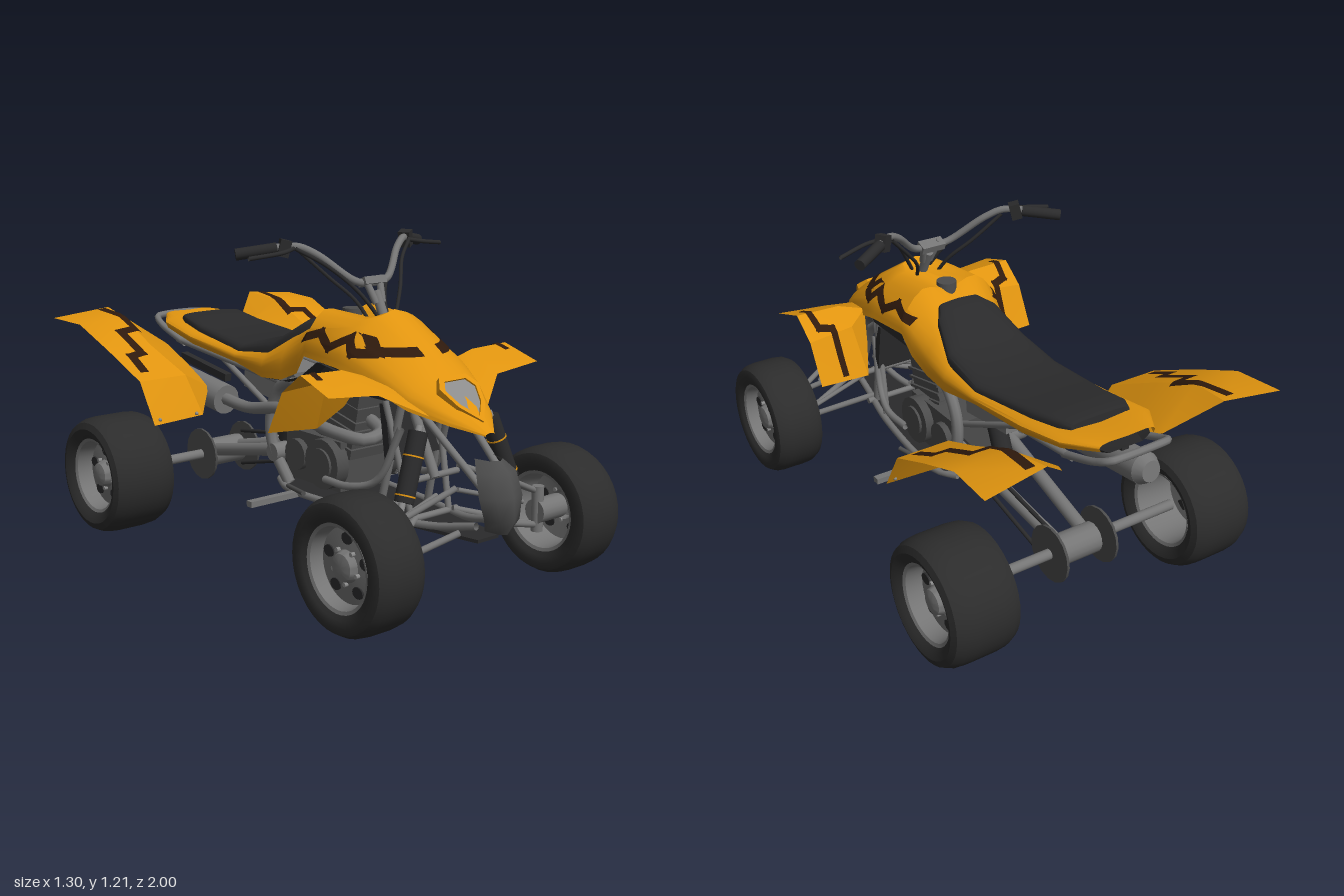
import * as THREE from 'three';
import { toCreasedNormals } from 'three/addons/utils/BufferGeometryUtils.js';

const V = (p) => new THREE.Vector3(...p);
const material = (name, color) =>
  new THREE.MeshStandardMaterial({ name, color, side: THREE.DoubleSide });

export function createModel() {
  const model = new THREE.Group();
  model.name = 'quadBike';
  const orange = material('orange', 0xe0940f);
  const brown = material('dark brown', 0x2f1a0d);
  const black = material('rubber black', 0x2c2c2c);
  const plastic = material('seat black', 0x2a2a2b);
  const grey = material('frame grey', 0x757575);
  const dark = material('engine grey', 0x4c4c4c);
  const light = material('light grey', 0x8c8c8c);

  function add(name, geometry, mat, pos = [0, 0, 0], rot = [0, 0, 0], parent = model) {
    const mesh = new THREE.Mesh(geometry, mat);
    mesh.name = name;
    mesh.position.set(...pos);
    mesh.rotation.set(...rot);
    parent.add(mesh);
    return mesh;
  }
  const both = (fn) => [1, -1].forEach(fn);
  const box = (name, size, mat, pos, rot) => add(name, new THREE.BoxGeometry(...size), mat, pos, rot);
  const tube = (name, pts, r, mat) =>
    add(name, new THREE.TubeGeometry(new THREE.CatmullRomCurve3(pts.map(V), false, 'centripetal'), pts.length * 5, r, 8), mat);
  function rod(name, a, b, r, mat, r2 = r) {
    const dir = V(b).sub(V(a));
    const mesh = add(name, new THREE.CylinderGeometry(r2, r, dir.length(), 16), mat);
    mesh.position.copy(V(a)).addScaledVector(dir, 0.5);
    mesh.quaternion.setFromUnitVectors(new THREE.Vector3(0, 1, 0), dir.normalize());
    return mesh;
  }
  const flip = (pts, s) => pts.map(([x, y, z]) => [x * s, y, z]);
  const pairTube = (name, pts, r, mat) => both((s) => tube(name, flip(pts, s), r, mat));
  const pairRod = (name, a, b, r, mat) => both((s) => rod(name, ...flip([a, b], s), r, mat));

  // Surface through rows of points
  function sheet(rows, crease = 0.6) {
    const n = rows[0].length, index = [];
    for (let i = 0; i < rows.length - 1; i++)
      for (let j = 0; j < n - 1; j++) {
        const a = i * n + j, b = a + n;
        index.push(a, b, a + 1, b, b + 1, a + 1);
      }
    const g = new THREE.BufferGeometry();
    g.setAttribute('position', new THREE.Float32BufferAttribute(rows.flat(2), 3));
    g.setIndex(index);
    return toCreasedNormals(g, crease);
  }
  // Row across the body from half a section: centre, shoulder, side, edge
  function section([z, ...half]) {
    const pts = new THREE.CatmullRomCurve3(half.map(([x, y]) => V([x, y, z]))).getPoints(9).map((p) => p.toArray());
    return [...flip(pts.slice(1), -1).reverse(), ...pts];
  }
  // Zigzag stripe laid on a surface along a ray direction
  function stripe(name, path, width, target, place, dir) {
    const ray = new THREE.Raycaster(), d = V(dir), out = [];
    const hit = (p) => {
      ray.set(V(place(p.x, p.y)), d);
      const h = ray.intersectObject(target)[0];
      return h && h.point.addScaledVector(d, -0.005).toArray();
    };
    for (let i = 0; i < path.length - 1; i++) {
      const a = new THREE.Vector2(...path[i]), b = new THREE.Vector2(...path[i + 1]);
      const t = b.clone().sub(a).normalize().multiplyScalar(width / 2), n = new THREE.Vector2(-t.y, t.x);
      a.sub(t); b.add(t);
      const at = (u, k) => hit(a.clone().lerp(b, u).addScaledVector(n, k));
      for (let k = 0; k < 12; k++)
        for (const e of [-1, -0.5, 0, 0.5]) {
          const q = [at(k / 12, e), at((k + 1) / 12, e), at((k + 1) / 12, e + 0.5), at(k / 12, e + 0.5)];
          if (q.every(Boolean)) out.push(q[0], q[1], q[2], q[0], q[2], q[3]);
        }
    }
    const g = new THREE.BufferGeometry();
    g.setAttribute('position', new THREE.Float32BufferAttribute(out.flat(), 3));
    g.computeVertexNormals();
    add(name, g, brown);
  }

  // Bodywork: nose, tank cover and tail
  const body = add('bodywork', sheet([
    [0.875, [0, 0.61], [0.012, 0.608], [0.02, 0.605], [0.02, 0.6]],
    [0.79, [0, 0.685], [0.05, 0.678], [0.095, 0.65], [0.1, 0.63]],
    [0.66, [0, 0.79], [0.09, 0.772], [0.165, 0.72], [0.175, 0.67]],
    [0.58, [0, 0.855], [0.09, 0.83], [0.185, 0.765], [0.2, 0.705]],
    [0.4, [0, 0.968], [0.09, 0.938], [0.205, 0.84], [0.225, 0.765]],
    [0.35, [0, 0.925], [0.108, 0.933], [0.205, 0.845], [0.225, 0.775]],
    [0.155, [0, 0.92], [0.118, 0.95], [0.207, 0.847], [0.215, 0.788]],
    [0.1, [0, 0.882], [0.1, 0.885], [0.195, 0.81], [0.205, 0.715]],
    [0, [0, 0.84], [0.13, 0.835], [0.195, 0.76], [0.2, 0.675]],
    [-0.12, [0, 0.755], [0.165, 0.76], [0.2, 0.72], [0.2, 0.665]],
    [-0.3, [0, 0.725], [0.175, 0.74], [0.2, 0.72], [0.19, 0.695]],
    [-0.6, [0, 0.76], [0.155, 0.77], [0.2, 0.755], [0.19, 0.725]],
    [-0.8, [0, 0.8], [0.14, 0.805], [0.19, 0.79], [0.18, 0.765]],
    [-0.915, [0, 0.81], [0.1, 0.81], [0.115, 0.8], [0.11, 0.785]],
  ].map(section), 0.7), orange);
  const under = [[0.6, 0.14, 0.7], [0.4, 0.17, 0.73], [0.2, 0.19, 0.77], [0.1, 0.19, 0.7], [0, 0.19, 0.67], [-0.12, 0.19, 0.665], [-0.3, 0.185, 0.695], [-0.6, 0.185, 0.725], [-0.8, 0.175, 0.765], [-0.91, 0.1, 0.785]];
  add('underTray', sheet(under.map(([z, w, y]) => [[-w, y, z], [-w * 0.7, y - 0.02, z], [w * 0.7, y - 0.02, z], [w, y, z]])), plastic);

  // Seat
  add('seat', sheet([
    [0.115, [0, 0.885], [0.04, 0.885], [0.07, 0.88], [0.075, 0.87]],
    [0.09, [0, 0.908], [0.05, 0.905], [0.085, 0.898], [0.09, 0.87]],
    [0.03, [0, 0.9], [0.08, 0.895], [0.125, 0.875], [0.13, 0.83]],
    [-0.1, [0, 0.82], [0.11, 0.815], [0.165, 0.79], [0.17, 0.75]],
    [-0.29, [0, 0.77], [0.12, 0.768], [0.175, 0.755], [0.182, 0.72]],
    [-0.6, [0, 0.803], [0.11, 0.8], [0.15, 0.79], [0.157, 0.755]],
    [-0.73, [0, 0.828], [0.1, 0.825], [0.138, 0.815], [0.143, 0.785]],
    [-0.775, [0, 0.822], [0.09, 0.82], [0.12, 0.812], [0.125, 0.79]],
    [-0.78, [0, 0.79], [0.09, 0.79], [0.12, 0.79], [0.125, 0.785]],
  ].map(section), 0.7), plastic);

  // Headlight in its raised frame
  const shield = (k) => new THREE.Shape([[-0.055, 0.075], [0.055, 0.075], [0.08, 0.035], [0.055, -0.035], [0, -0.1], [-0.055, -0.035], [-0.08, 0.035]]
    .map(([x, y]) => new THREE.Vector2(x * k, y * k)));
  const frame = shield(1.15);
  frame.holes.push(shield(0.9));
  add('headlightFrame', new THREE.ExtrudeGeometry(frame, { depth: 0.028, bevelEnabled: false }), orange, [0, 0.697, 0.74], [-0.863, 0, 0]);
  add('headlight', new THREE.ExtrudeGeometry(shield(0.92), { depth: 0.022, bevelEnabled: false }), light, [0, 0.697, 0.74], [-0.863, 0, 0]);
  add('fuelCap', new THREE.CylinderGeometry(0.038, 0.04, 0.045, 20), dark, [0, 0.925, 0.175]);

  // Fenders and painted bolts
  const frontFender = [
    [[0.14, 0.66, 0.73], [0.285, 0.735, 0.635], [0.495, 0.755, 0.635]],
    [[0.17, 0.735, 0.6], [0.31, 0.8, 0.48], [0.488, 0.805, 0.48]],
    [[0.2, 0.765, 0.47], [0.3, 0.745, 0.39], [0.487, 0.73, 0.38]],
    [[0.23, 0.65, 0.4], [0.28, 0.56, 0.31], [0.487, 0.575, 0.3]],
  ];
  const rearFender = [
    [[0.275, 0.53, -0.4], [0.33, 0.5, -0.33], [0.56, 0.495, -0.31]],
    [[0.2, 0.57, -0.48], [0.36, 0.65, -0.4], [0.565, 0.65, -0.4]],
    [[0.19, 0.64, -0.65], [0.39, 0.743, -0.6], [0.58, 0.74, -0.6]],
    [[0.19, 0.7, -0.8], [0.39, 0.832, -0.8], [0.592, 0.82, -0.8]],
    [[0.21, 0.715, -0.85], [0.365, 0.85, -0.97], [0.607, 0.825, -0.99]],
  ];
  both((s) => {
    const front = add('frontFender', sheet(frontFender.map((r) => flip(r, s)), 0.4), orange);
    const rear = add('rearFender', sheet(rearFender.map((r) => flip(r, s)), 0.4), orange);
    const above = (x, z) => [x * s, 2, z];
    stripe('frontFenderBolt', [[0.375, 0.315], [0.38, 0.4], [0.43, 0.415], [0.445, 0.52]], 0.026, front, above, [0, -1, 0]);
    stripe('rearFenderBolt', [[0.41, -0.93], [0.39, -0.71], [0.465, -0.7], [0.46, -0.555], [0.51, -0.545], [0.515, -0.46]], 0.036, rear, above, [0, -1, 0]);
    stripe('bodyBolt', [[0.49, 0.84], [0.41, 0.835], [0.37, 0.88], [0.29, 0.838], [0.22, 0.88], [0.13, 0.85]], 0.03, body, (z, y) => [s, y, z], [-s, 0, 0]);
    stripe('noseBolt', [[0.055, 0.846], [0.16, 0.845], [0.145, 0.88]], 0.028, body, (x, y) => [x * s, y, 2], [0, 0, -1]);
    for (const x of [0.365, 0.53]) add('fenderRivet', new THREE.SphereGeometry(0.007, 8, 6), light, [x * s, 0.512, -0.32]);
  });

  // Wheels
  function wheel(name, x, z, h) {
    const g = new THREE.Group();
    g.name = name;
    g.position.set(x, 0.233, z);
    g.rotation.y = x < 0 ? Math.PI : 0;
    model.add(g);
    const spin = (part, pts, mat) =>
      add(part, toCreasedNormals(new THREE.LatheGeometry(pts.map(([r, y]) => new THREE.Vector2(r, y * h)), 36), 0.7), mat, [0, 0, 0], [0, 0, -Math.PI / 2], g);
    spin('tyre', [[0.14, -0.75], [0.165, -0.93], [0.19, -1], [0.215, -0.93], [0.229, -0.7], [0.233, -0.4], [0.233, 0.4], [0.229, 0.7], [0.215, 0.93], [0.19, 1], [0.165, 0.93], [0.14, 0.75]], black);
    spin('rim', [[0.15, 0.84], [0.138, 0.8], [0.128, 0.35], [0.055, 0.42], [0.045, 0.65], [0.025, 0.7], [0, 0.7]], grey);
    spin('rimBarrel', [[0.15, -0.84], [0.138, -0.8], [0.128, 0.35]], grey);
    for (let i = 0; i < 5; i++) {
      const a = (i / 5) * Math.PI * 2 + Math.PI / 2;
      const hole = add('rimHole', new THREE.CylinderGeometry(0.02, 0.02, 0.008, 12), plastic, [0.4 * h, Math.sin(a) * 0.093, Math.cos(a) * 0.093], [0, 0, -Math.PI / 2], g);
      hole.scale.z = 1.25;
      add('wheelNut', new THREE.CylinderGeometry(0.008, 0.008, 0.02, 6), light, [0.45 * h, Math.sin(a + 0.6) * 0.06, Math.cos(a + 0.6) * 0.06], [0, 0, -Math.PI / 2], g);
    }
  }
  both((s) => { wheel('frontWheel', 0.478 * s, 0.758, 0.103); wheel('rearWheel', 0.515 * s, -0.67, 0.135); });

  // Rear axle, hub carrier, discs and swingarm
  rod('rearAxle', [-0.45, 0.235, -0.67], [0.45, 0.235, -0.67], 0.02, grey);
  rod('axleCarrier', [-0.08, 0.235, -0.67], [0.08, 0.235, -0.67], 0.058, grey);
  both((s) => rod('rearDisc', [0.104 * s, 0.235, -0.67], [0.114 * s, 0.235, -0.67], 0.108, dark));
  pairRod('swingarm', [0.1, 0.37, -0.1], [0.06, 0.25, -0.65], 0.026, grey);
  for (const y of [0.04, -0.04]) rod('chain', [0.09, 0.37 + y, 0.02], [0.09, 0.235 + y * 1.8, -0.66], 0.008, plastic);
  rod('rearShock', [0, 0.58, -0.13], [0, 0.37, -0.22], 0.038, plastic);
  rod('rearShockCollar', [0, 0.525, -0.154], [0, 0.517, -0.157], 0.041, orange);

  // Front suspension
  for (const z of [0.62, 0.83]) {
    pairRod('upperArm', [0.11, 0.43, z], [0.38, 0.31, 0.75], 0.011, grey);
    pairRod('lowerArm', [0.09, 0.27, z], [0.39, 0.18, 0.75], 0.012, grey);
  }
  pairRod('tieRod', [0.05, 0.36, 0.68], [0.39, 0.25, 0.68], 0.009, grey);
  pairRod('steeringKnuckle', [0.385, 0.16, 0.757], [0.385, 0.33, 0.757], 0.022, grey);
  pairRod('frontHub', [0.37, 0.235, 0.757], [0.5, 0.235, 0.757], 0.045, grey);
  pairRod('frontShock', [0.17, 0.61, 0.71], [0.255, 0.385, 0.735], 0.034, plastic);
  pairRod('shockCollar', [0.199, 0.533, 0.7185], [0.201, 0.528, 0.7191], 0.036, orange);
  pairRod('shockCollar', [0.246, 0.409, 0.7323], [0.248, 0.404, 0.7329], 0.036, orange);
  pairRod('shockRod', [0.165, 0.63, 0.71], [0.28, 0.34, 0.74], 0.012, light);

  // Frame tubes
  pairTube('lowerRail', [[0.06, 0.3, 0.88], [0.08, 0.26, 0.7], [0.14, 0.25, 0.42], [0.17, 0.25, 0], [0.13, 0.26, -0.1]], 0.014, grey);
  pairTube('rearHoop', [[0.15, 0.67, 0.0], [0.15, 0.63, -0.07], [0.15, 0.53, -0.125], [0.15, 0.4, -0.12], [0.14, 0.26, -0.03]], 0.023, grey);
  pairRod('noseStay', [0.06, 0.43, 0.91], [0.1, 0.7, 0.58], 0.013, grey);
  pairRod('frontUpright', [0.1, 0.73, 0.57], [0.12, 0.25, 0.46], 0.014, grey);
  pairRod('frontBrace', [0.13, 0.73, 0.48], [0.09, 0.26, 0.6], 0.012, grey);
  pairTube('midRail', [[0.11, 0.58, 0.56], [0.14, 0.38, 0.47], [0.17, 0.34, 0.36], [0.17, 0.335, 0.22]], 0.014, grey);
  pairRod('topRail', [0.1, 0.72, 0.52], [0.15, 0.66, 0], 0.016, grey);
  pairRod('seatRail', [0.15, 0.65, -0.05], [0.13, 0.71, -0.8], 0.013, grey);
  pairRod('seatStay', [0.12, 0.5, -0.12], [0.12, 0.68, -0.5], 0.012, grey);
  tube('grabBar', [[0.13, 0.7, -0.75], [0.135, 0.76, -0.92], [0.12, 0.785, -0.975], [0.08, 0.79, -0.985], [-0.08, 0.79, -0.985], [-0.12, 0.785, -0.975], [-0.135, 0.76, -0.92], [-0.13, 0.7, -0.75]], 0.014, grey);
  both((s) => rod('crossTube', [-0.13, 0.33 + s * 0.07, 0.6], [0.13, 0.33 + s * 0.07, 0.6], 0.012, grey));

  // Front bumper and skid plate
  add('frontBumper', sheet([[0.525, 0.045, 0.925], [0.49, 0.078, 0.965], [0.41, 0.088, 0.99], [0.33, 0.065, 0.995], [0.28, 0.03, 0.965]]
    .map(([y, w, z]) => [[-w, y, z - 0.075], [-w * 0.7, y, z - 0.02], [0, y, z], [w * 0.7, y, z - 0.02], [w, y, z - 0.075]]), 1.2), dark);
  const plate = new THREE.Shape([[-0.05, 0.88], [0.05, 0.88], [0.14, 0.42], [0.17, 0.02], [0.11, -0.1], [-0.11, -0.1], [-0.17, 0.02], [-0.14, 0.42]].map((p) => new THREE.Vector2(...p)));
  add('skidPlate', new THREE.ExtrudeGeometry(plate, { depth: 0.012, bevelEnabled: false }), plastic, [0, 0.25, 0], [Math.PI / 2, 0, 0]);

  // Engine and exhaust
  box('crankcase', [0.24, 0.19, 0.32], dark, [0, 0.375, 0.09]);
  both((s) => {
    rod('clutchCover', [0.1 * s, 0.38, 0.18], [0.155 * s, 0.38, 0.18], 0.095, dark);
    rod('coverCap', [0.15 * s, 0.38, 0.18], [0.165 * s, 0.38, 0.18], 0.06, dark);
    rod('sideCover', [0.1 * s, 0.38, 0.01], [0.145 * s, 0.38, 0.01], 0.06, dark);
    rod('pivotCap', [0.1 * s, 0.37, -0.1], [0.17 * s, 0.37, -0.1], 0.035, grey);
  });
  box('cylinderBarrel', [0.18, 0.2, 0.19], dark, [0, 0.52, 0.195], [0.22, 0, 0]);
  for (let i = 0; i < 4; i++) box('coolingFin', [0.2, 0.01, 0.21], dark, [0, 0.46 + i * 0.035, 0.182 + i * 0.008], [0.22, 0, 0]);
  box('cylinderHead', [0.17, 0.09, 0.16], dark, [0, 0.625, 0.225], [0.22, 0, 0]);
  box('airBox', [0.28, 0.08, 0.36], plastic, [0, 0.715, 0.33]);
  box('radiator', [0.26, 0.2, 0.03], plastic, [0, 0.56, 0.5], [-0.15, 0, 0]);
  box('rearAirBox', [0.2, 0.12, 0.26], grey, [0, 0.62, -0.24], [0.12, 0, 0]);
  tube('exhaustPipe', [[-0.02, 0.55, 0.3], [-0.06, 0.53, 0.4], [-0.15, 0.52, 0.42], [-0.19, 0.53, 0.3], [-0.18, 0.56, 0], [-0.17, 0.52, -0.25], [-0.17, 0.53, -0.42]], 0.024, grey);
  rod('muffler', [-0.17, 0.525, -0.4], [-0.17, 0.575, -0.82], 0.06, grey);
  rod('mufflerTip', [-0.17, 0.575, -0.82], [-0.17, 0.58, -0.855], 0.06, grey, 0.04);
  box('mufflerBracket', [0.03, 0.03, 0.32], plastic, [-0.13, 0.625, -0.6], [0.14, 0, 0]);

  // Footpegs and pedals
  both((s) => {
    box('footpeg', [0.22, 0.022, 0.03], grey, [0.29 * s, 0.247, 0.065]);
    rod('pedal', [0.17 * s, 0.26, 0.0], [0.23 * s, 0.28, 0.17], 0.009, dark);
  });

  // Handlebar with grips, levers and cables
  rod('steeringStem', [0, 0.4, 0.62], [0, 1.02, 0.3], 0.018, grey);
  box('barClamp', [0.1, 0.028, 0.045], grey, [0, 1.055, 0.28], [-0.4, 0, 0]);
  pairRod('clampPost', [0.015, 0.98, 0.32], [0.035, 1.07, 0.278], 0.013, grey);
  tube('handlebar', [[-0.32, 1.182, 0.12], [-0.25, 1.185, 0.165], [-0.19, 1.155, 0.2], [-0.075, 1.06, 0.275], [0, 1.05, 0.28],
    [0.075, 1.06, 0.275], [0.19, 1.155, 0.2], [0.25, 1.185, 0.165], [0.32, 1.182, 0.12]], 0.014, grey);
  pairRod('grip', [0.31, 1.18, 0.125], [0.435, 1.16, 0.05], 0.021, plastic);
  both((s) => box('leverMount', [0.04, 0.06, 0.045], plastic, [0.29 * s, 1.18, 0.14], [0, 0.5 * s, 0.25 * s]));
  pairTube('brakeLever', [[0.27, 1.18, 0.17], [0.33, 1.17, 0.185], [0.455, 1.155, 0.155]], 0.008, plastic);
  pairTube('cable', [[0.27, 1.18, 0.18], [0.18, 1.12, 0.24], [0.1, 1.03, 0.32], [0.03, 0.92, 0.37]], 0.007, plastic);
  pairTube('innerCable', [[0.24, 1.17, 0.16], [0.14, 1.07, 0.21], [0.07, 0.99, 0.27], [0.04, 0.9, 0.33]], 0.007, plastic);
  return model;
}
